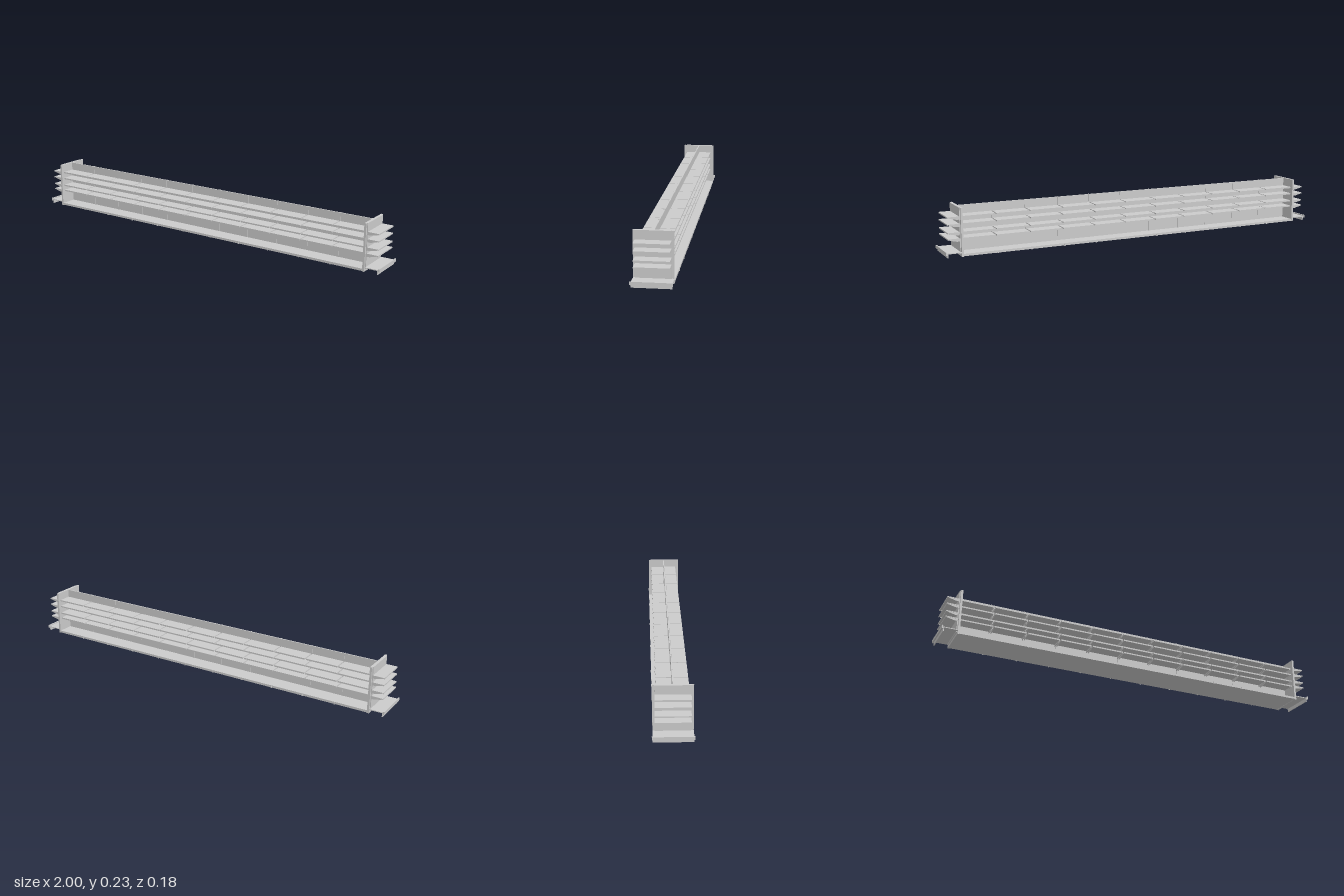
import * as THREE from 'three';

const material = new THREE.MeshStandardMaterial({ color: 0xcccccc, flatShading: true });
const SHELF_TOPS = [0.187, 0.153, 0.114, 0.085];
const BAYS = 11, HALF = 0.92, HEIGHT = 0.228;

// Box given by its minimum and maximum corners
function box(parent, name, x0, x1, y0, y1, z0, z1) {
  const mesh = new THREE.Mesh(new THREE.BoxGeometry(x1 - x0, y1 - y0, z1 - z0), material);
  mesh.name = name;
  mesh.position.set((x0 + x1) / 2, (y0 + y1) / 2, (z0 + z1) / 2);
  parent.add(mesh);
  return mesh;
}

// Tapered shelf arm: grows along +x from the wall, thickness along z
function bracketGeometry(length, drop, thickness) {
  const s = new THREE.Shape();
  s.moveTo(0, 0);
  s.lineTo(0, -drop);
  s.lineTo(length * 0.25, -drop);
  s.lineTo(length, -drop * 0.25);
  s.lineTo(length, 0);
  s.closePath();
  return new THREE.ExtrudeGeometry(s, { depth: thickness, bevelEnabled: false })
    .translate(0, 0, -thickness / 2);
}

// One long side: shelves of every bay, facing +z
function createLongSide() {
  const side = new THREE.Group();
  const pitch = (2 * HALF) / BAYS;
  const arm = bracketGeometry(0.06, 0.01, 0.002).rotateY(-Math.PI / 2);
  for (let i = 0; i < BAYS; i++) {
    const x0 = -HALF + i * pitch + 0.003, x1 = x0 + pitch - 0.006;
    for (const top of SHELF_TOPS) {
      box(side, 'shelf', x0, x1, top - 0.003, top, 0.003, 0.068);
      box(side, 'shelfLip', x0, x1, top - 0.007, top, 0.068, 0.07);
      for (const x of [x0 + 0.002, x1 - 0.002]) {
        const bracket = new THREE.Mesh(arm, material);
        bracket.name = 'shelfBracket';
        bracket.position.set(x, top - 0.003, 0.003);
        side.add(bracket);
      }
    }
    // Small feet at the base joints
    if (i > 0) box(side, 'foot', x0 - 0.006, x0, 0, 0.009, 0.085, 0.0875);
  }
  box(side, 'baseFrontLip', -HALF, HALF, 0.002, 0.013, 0.084, 0.086);
  return side;
}

// End cap, growing toward +x
function createEnd() {
  const end = new THREE.Group();
  box(end, 'endPanel', 0.915, 0.925, 0, HEIGHT, -0.086, 0.087);
  box(end, 'endBackPanel', 0.925, 0.929, 0.012, HEIGHT, -0.075, 0.078);
  const arm = bracketGeometry(0.048, 0.011, 0.004);
  for (const top of SHELF_TOPS) {
    box(end, 'endShelf', 0.929, 0.982, top - 0.004, top, -0.075, 0.078);
    box(end, 'endShelfLip', 0.982, 0.984, top - 0.006, top, -0.075, 0.078);
    for (const z of [-0.072, 0.075]) {
      const bracket = new THREE.Mesh(arm, material);
      bracket.name = 'endShelfBracket';
      bracket.position.set(0.929, top - 0.004, z);
      end.add(bracket);
    }
  }
  // Low tray with bumper bar and kick plate
  box(end, 'endBaseDeck', 0.925, 0.994, 0.018, 0.022, -0.086, 0.087);
  box(end, 'endBumper', 0.994, 1, 0.013, 0.028, -0.089, 0.09);
  box(end, 'endKickPlate', 0.988, 0.992, 0, 0.018, -0.086, 0.087);
  return end;
}

export function createModel() {
  const model = new THREE.Group();
  model.name = 'doubleSidedShelving';

  // Base, central wall and the uprights between bays
  box(model, 'baseDeck', -HALF, HALF, 0.002, 0.012, -0.084, 0.084);
  box(model, 'centralWall', -HALF, HALF, 0.012, HEIGHT - 0.001, -0.003, 0.003);
  for (let i = 1; i < BAYS; i++) {
    const x = -HALF + (i * 2 * HALF) / BAYS;
    box(model, 'upright', x - 0.002, x + 0.002, 0.012, HEIGHT, -0.005, 0.005);
  }

  // Both long sides and both ends, each turned half round
  for (const turn of [0, Math.PI]) {
    const side = createLongSide();
    side.name = turn ? 'backShelves' : 'frontShelves';
    side.rotation.y = turn;
    const end = createEnd();
    end.name = turn ? 'rightEnd' : 'leftEnd';
    end.rotation.y = turn;
    model.add(side, end);
  }
  return model;
}
